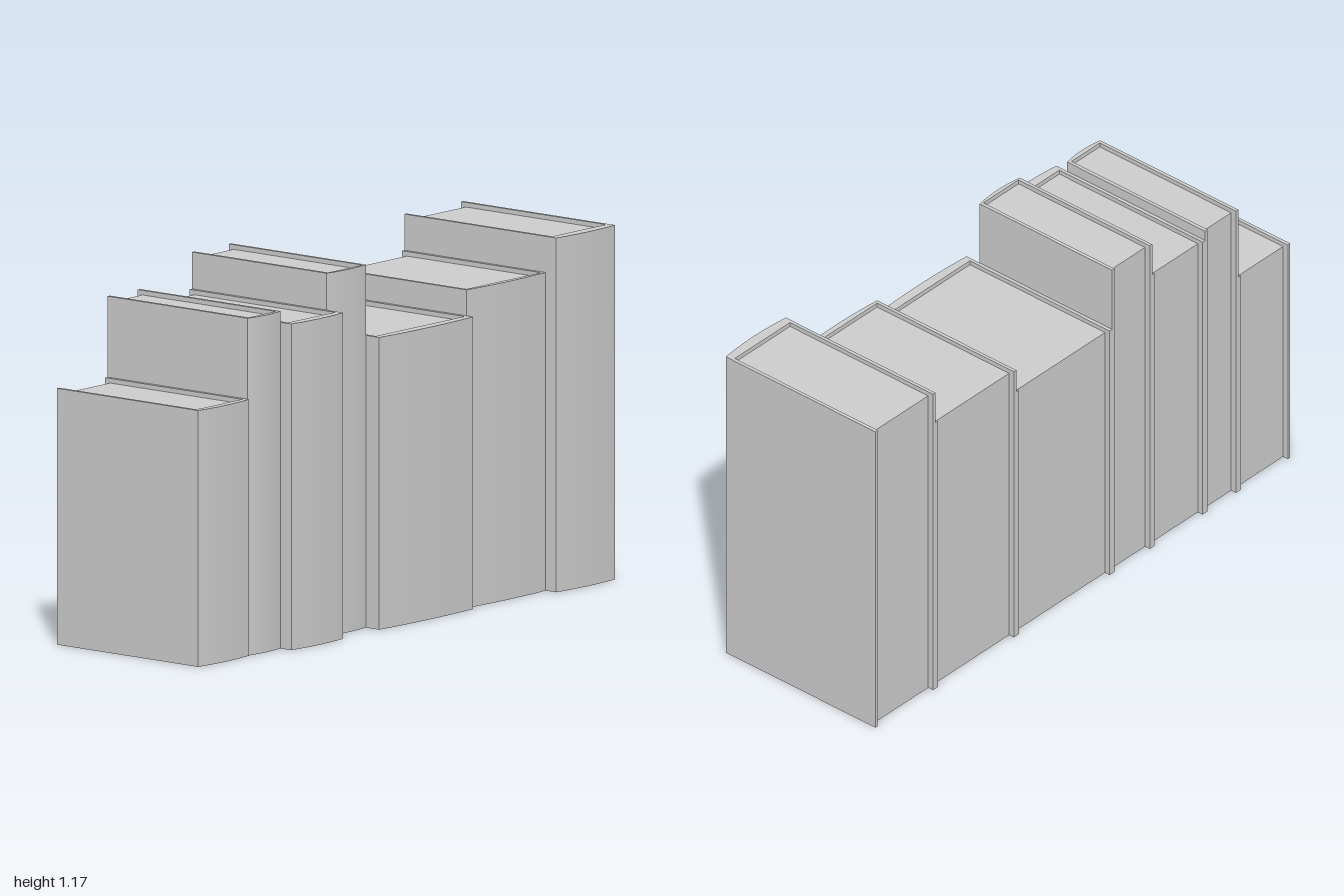
import * as THREE from 'three';

const BACK = -0.322;     // open edge of the covers
const PAGE_BACK = -0.302;
const BOARD = 0.012;     // cover thickness
const BULGE = 0.009;     // roundness of the spine
const LIP = 0.015;       // covers stand above the pages

// front z, back z, height, spine x, inner spine x
const BOOKS = [
  [1.0, 0.75, 0.83, 0.276, 0.25],
  [0.75, 0.59, 1.092, 0.271, 0.254],
  [0.59, 0.335, 1.056, 0.317, 0.285],
  [0.335, 0.142, 1.175, 0.248, 0.234],
  [0.142, -0.32, 0.946, 0.304, 0.27],
  [-0.32, -0.71, 1.03, 0.276, 0.257],
  [-0.71, -1.0, 1.147, 0.32, 0.283],
];

function createBook([z0, z1, height, spine, inner], material) {
  const book = new THREE.Group();
  const half = (z0 - z1) / 2;
  const edge = spine - BULGE;

  // U-shaped cover with a rounded spine, extruded upwards
  const outline = new THREE.Shape();
  outline.moveTo(BACK, -half);
  outline.lineTo(edge, -half);
  outline.quadraticCurveTo(edge + 2 * BULGE, 0, edge, half);
  outline.lineTo(BACK, half);
  outline.lineTo(BACK, half - BOARD);
  outline.lineTo(inner, half - BOARD);
  outline.lineTo(inner, -half + BOARD);
  outline.lineTo(BACK, -half + BOARD);
  outline.closePath();
  const coverGeometry = new THREE.ExtrudeGeometry(outline, {
    depth: height, bevelEnabled: false, curveSegments: 10,
  });
  coverGeometry.rotateX(-Math.PI / 2);
  const cover = new THREE.Mesh(coverGeometry, material);
  cover.name = 'cover';

  // Page block between the boards
  const pageHeight = height - LIP;
  const pages = new THREE.Mesh(
    new THREE.BoxGeometry(inner - PAGE_BACK, pageHeight, 2 * (half - BOARD)), material);
  pages.position.set((inner + PAGE_BACK) / 2, pageHeight / 2, 0);
  pages.name = 'pages';

  book.add(cover, pages);
  book.position.z = (z0 + z1) / 2;
  return book;
}

export function createModel() {
  const model = new THREE.Group();
  model.name = 'bookRow';
  const material = new THREE.MeshStandardMaterial({ color: 0xcccccc });
  BOOKS.forEach((spec, i) => {
    const book = createBook(spec, material);
    book.name = `book${i + 1}`;
    model.add(book);
  });
  return model;
}
